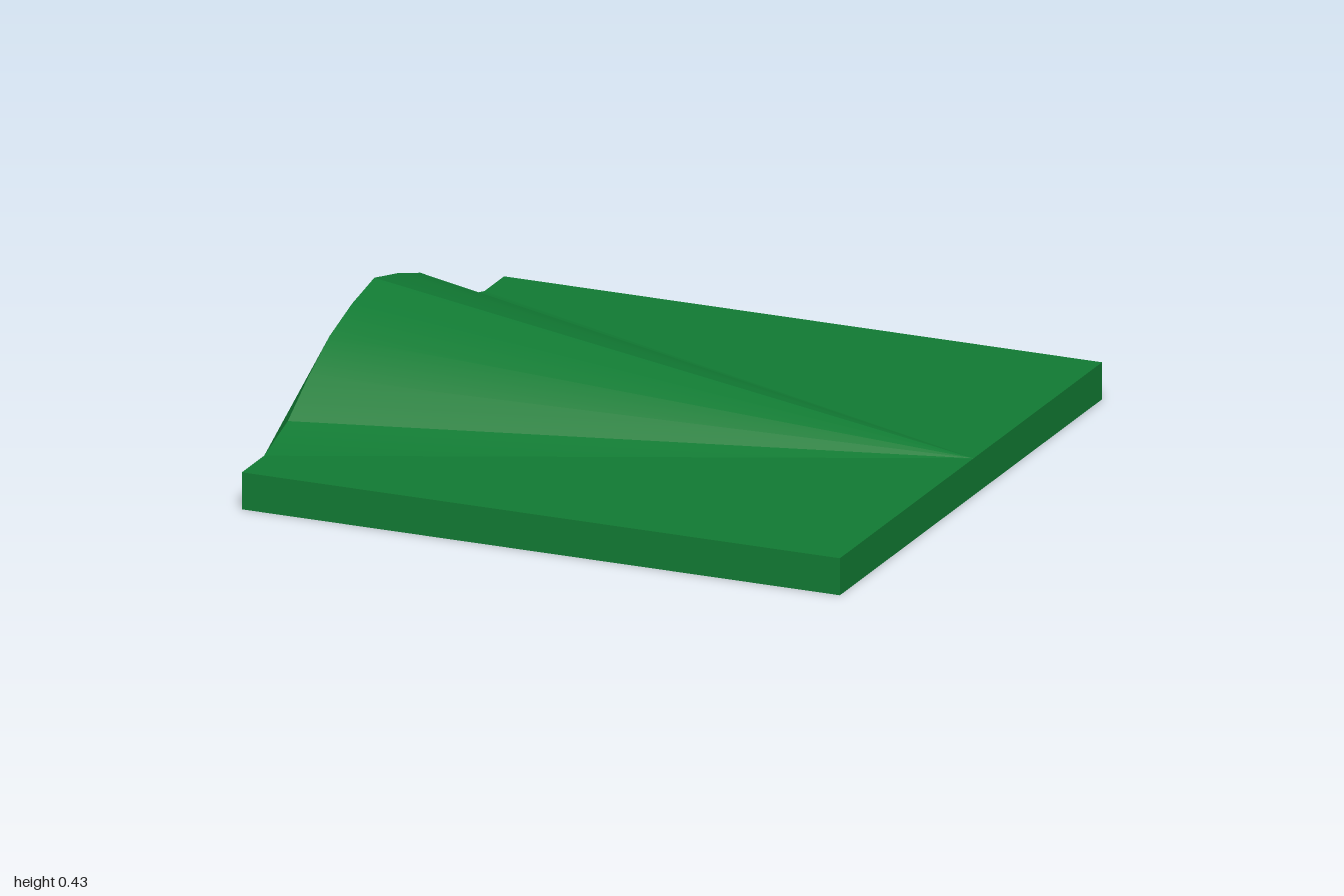
import * as THREE from 'three';

const BASE = 0.12;

// Cross-section of the ridge at its tall end, as [z, y], from +z to -z
const PROFILE = [
  [0.83, BASE], [0.65, 0.175], [0.49, 0.27], [0.33, 0.35], [0.16, 0.4], [-0.01, 0.43],
  [-0.19, 0.388], [-0.36, 0.335], [-0.51, 0.255], [-0.67, 0.16], [-0.85, BASE],
];
const CREASES = [1, 5]; // foot of the steep flank and the crest stay sharp

function meshFrom(name, positions, normals, material) {
  const geometry = new THREE.BufferGeometry();
  geometry.setAttribute('position', new THREE.Float32BufferAttribute(positions.flatMap((v) => v.toArray()), 3));
  if (normals) {
    geometry.setAttribute('normal', new THREE.Float32BufferAttribute(normals.flatMap((v) => v.toArray()), 3));
  } else {
    geometry.computeVertexNormals();
  }
  const mesh = new THREE.Mesh(geometry, material);
  mesh.name = name;
  return mesh;
}

export function createModel() {
  const group = new THREE.Group();
  group.name = 'terrainTile';
  const grass = new THREE.MeshStandardMaterial({ color: 0x117a33 });
  grass.name = 'grass green';

  // Square ground slab
  const slab = new THREE.Mesh(new THREE.BoxGeometry(2, BASE, 2), grass);
  slab.name = 'groundSlab';
  slab.position.y = BASE / 2;
  group.add(slab);

  // Ridge surface: every facet tapers from the tall end to one point
  const apex = new THREE.Vector3(1, BASE, -0.02);
  const rim = PROFILE.map(([z, y]) => new THREE.Vector3(-1, y, z));
  const faceNormals = rim.slice(1).map((next, i) =>
    new THREE.Triangle(rim[i], apex, next).getNormal(new THREE.Vector3()));
  const up = new THREE.Vector3(0, 1, 0);
  const rimNormal = (i, face) => (CREASES.includes(i)
    ? faceNormals[face].clone()
    : (faceNormals[i - 1] ?? up).clone().add(faceNormals[i] ?? up).normalize());

  const positions = [];
  const normals = [];
  faceNormals.forEach((normal, i) => {
    positions.push(rim[i], apex, rim[i + 1]);
    normals.push(rimNormal(i, i), normal, rimNormal(i + 1, i));
  });
  group.add(meshFrom('ridgeSurface', positions, normals, grass));

  // Flat wall closing the tall end of the ridge
  const wall = [];
  for (let i = 1; i < rim.length - 1; i++) wall.push(rim[0], rim[i], rim[i + 1]);
  group.add(meshFrom('ridgeEndWall', wall, null, grass));

  return group;
}
